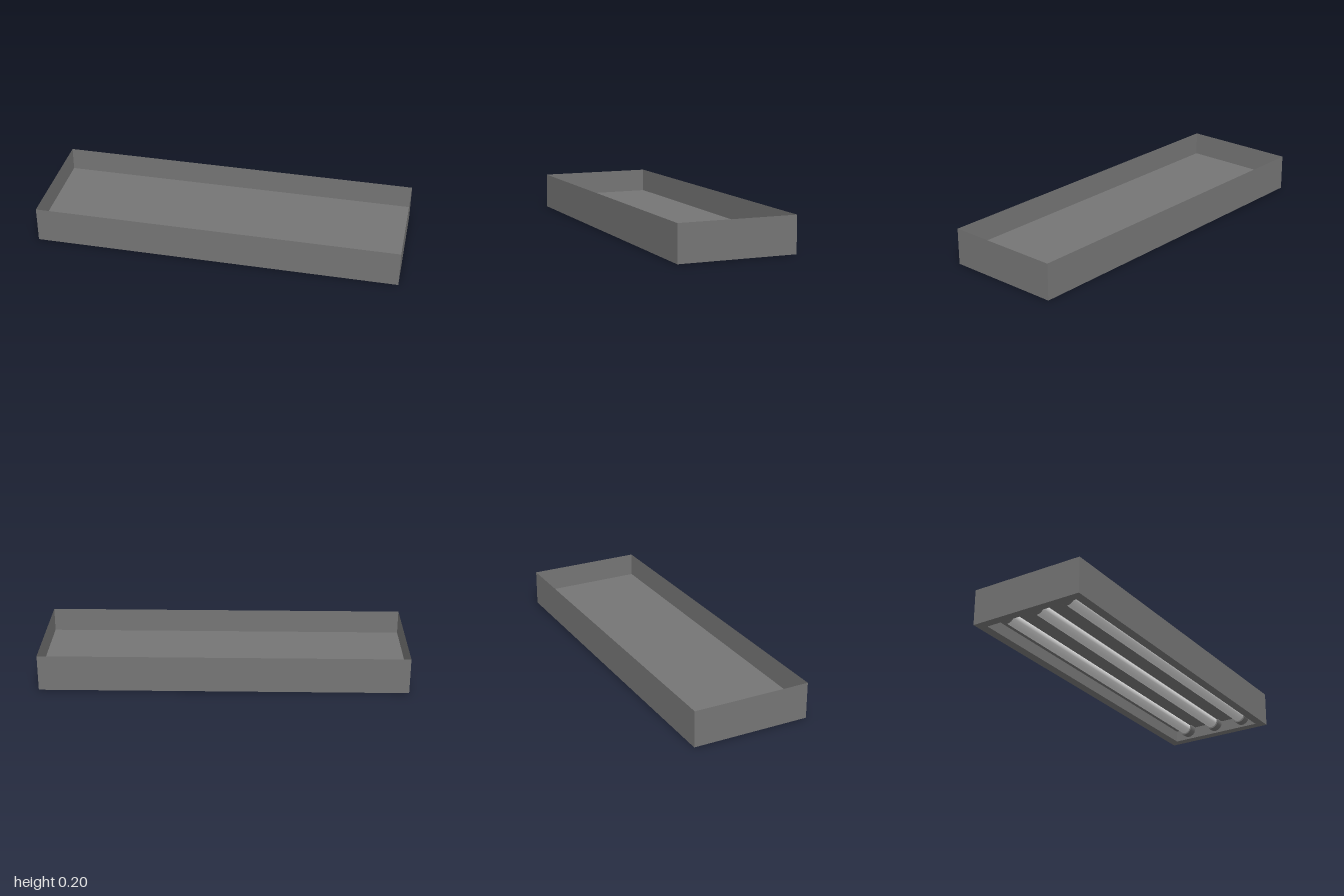
import * as THREE from 'three';

const W = 2, D = 0.65, H = 0.2;          // housing size
const LIP = 0.05, PAN_Y = 0.067;         // frame width, pan height
const AXIS_Y = 0.058;                    // height of the lamp axes

// Round bar along x whose upper part is cut off at the pan
function cutBar(radius, length) {
  const over = Math.asin((PAN_Y - AXIS_Y) / radius);
  return new THREE.CylinderGeometry(radius, radius, length, 24, 1, false, Math.PI - over, Math.PI + 2 * over)
    .rotateZ(Math.PI / 2);
}

export function createModel() {
  const group = new THREE.Group();
  const housingGrey = new THREE.MeshStandardMaterial({ color: 0x757575, side: THREE.DoubleSide });
  housingGrey.name = 'housing grey';
  const tubeWhite = new THREE.MeshStandardMaterial({ color: 0xe8e8e8 });
  tubeWhite.name = 'tube white';

  const add = (name, geometry, material) => {
    const mesh = new THREE.Mesh(geometry, material);
    mesh.name = name;
    group.add(mesh);
    return mesh;
  };

  // Four upright sheets around a rectangle, standing on the ground
  const wallRing = (name, w, d, height) => {
    for (let i = 0; i < 4; i++) {
      const [length, reach] = i % 2 ? [d, w / 2] : [w, d / 2];
      const wall = new THREE.PlaneGeometry(length, height);
      wall.translate(0, height / 2, reach).rotateY(i * Math.PI / 2);
      add(name, wall, housingGrey);
    }
  };
  wallRing('outerWall', W, D, H);
  wallRing('recessWall', W - 2 * LIP, D - 2 * LIP, PAN_Y);

  // Pan that closes the recess and forms the floor of the open upper side
  add('pan', new THREE.PlaneGeometry(W, D).rotateX(-Math.PI / 2), housingGrey).position.y = PAN_Y;

  // Flat frame around the opening on the underside
  const rectangle = (Type, w, d) => new Type([[-1, -1], [1, -1], [1, 1], [-1, 1]]
    .map(([x, y]) => new THREE.Vector2(x * w / 2, y * d / 2)));
  const frame = rectangle(THREE.Shape, W, D);
  frame.holes.push(rectangle(THREE.Path, W - 2 * LIP, D - 2 * LIP));
  add('bottomFrame', new THREE.ShapeGeometry(frame).rotateX(Math.PI / 2), housingGrey);

  // Three lamp tubes let into the pan, with a wider socket at each end
  for (const z of [-0.187, 0, 0.187]) {
    add('lampTube', cutBar(0.036, 1.8), tubeWhite).position.set(0, AXIS_Y, z);
    for (const side of [-1, 1]) {
      add('lampSocket', cutBar(0.045, 0.05), housingGrey).position.set(side * 0.925, AXIS_Y, z);
    }
  }
  return group;
}
